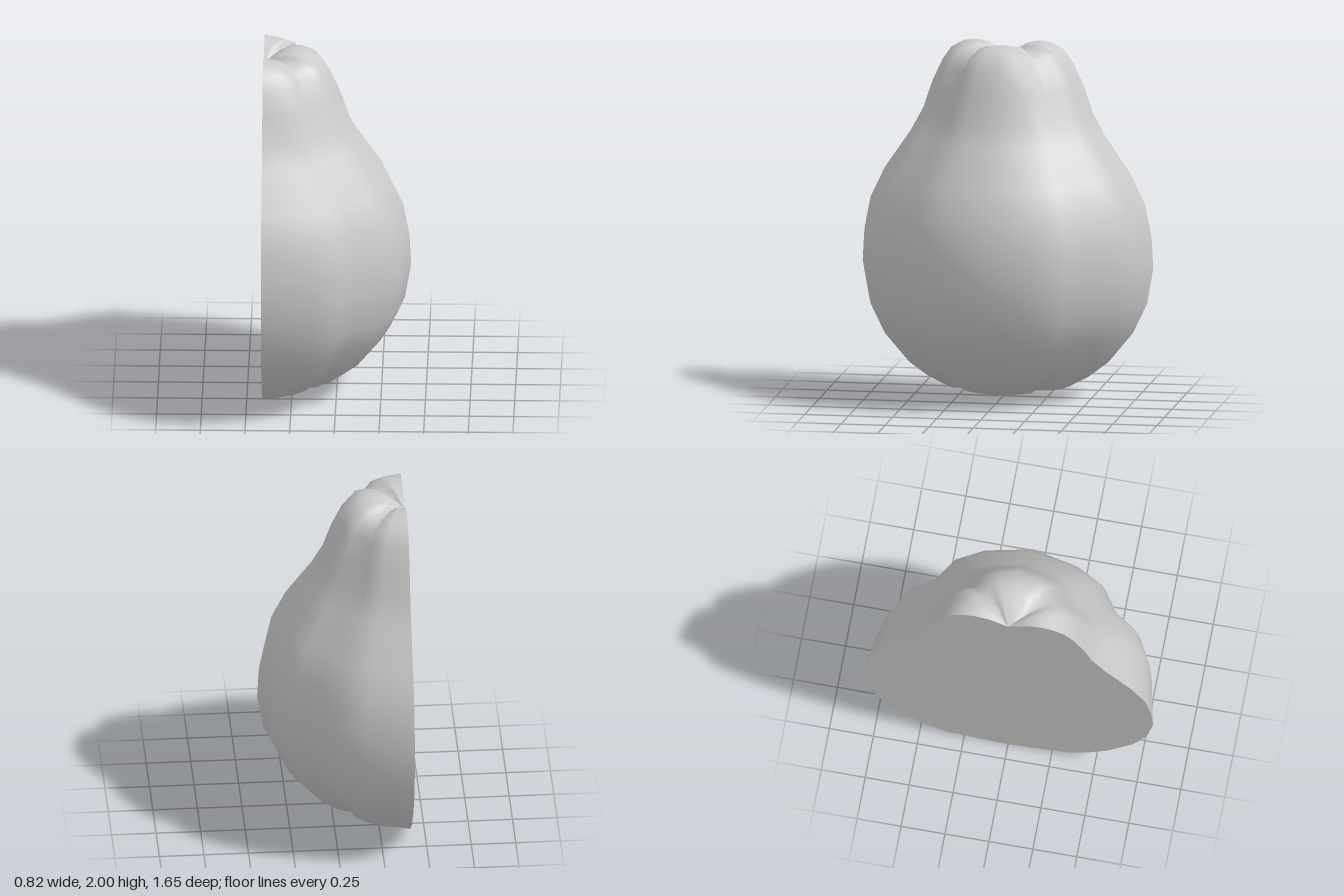
import * as THREE from 'three';

// Matching [radius, height] profiles, top to bottom: crest of a lobe and bottom of a groove
const CREST = [
  [0, 1.92], [0.05, 1.95], [0.11, 1.985], [0.18, 2], [0.25, 1.99], [0.32, 1.95], [0.37, 1.88],
  [0.43, 1.75], [0.48, 1.6], [0.55, 1.47], [0.7, 1.25], [0.78, 1.08], [0.815, 0.9], [0.825, 0.72],
  [0.79, 0.52], [0.71, 0.35], [0.57, 0.18], [0.46, 0.095], [0.35, 0.035], [0.17, 0.015], [0, 0],
];
const GROOVE = [
  [0, 1.92], [0.05, 1.925], [0.1, 1.93], [0.16, 1.935], [0.22, 1.93], [0.28, 1.91], [0.32, 1.85],
  [0.38, 1.73], [0.43, 1.59], [0.5, 1.46], [0.64, 1.25], [0.715, 1.08], [0.75, 0.9], [0.755, 0.72],
  [0.72, 0.52], [0.64, 0.36], [0.51, 0.2], [0.41, 0.125], [0.31, 0.075], [0.16, 0.04], [0, 0],
];
const CUT_X = -0.41;

// Columns round the half body: [angle in degrees, share of the groove profile]
const halfLobe = [[0, 0], [20, 0.14], [33, 0.22], [45, 1]];
const quarter = [...halfLobe, ...halfLobe.slice(0, 3).reverse().map(([a, w]) => [90 - a, w])];
const columns = [...quarter.slice(1).reverse().map(([a, w]) => [-a, w]), ...quarter];

// Lobed skin: a grid of profiles swept through half a turn
function skinGeometry() {
  const pos = [], index = [], n = columns.length;
  CREST.forEach(([cr, cy], i) => {
    const [gr, gy] = GROOVE[i];
    for (const [deg, w] of columns) {
      const a = THREE.MathUtils.degToRad(deg);
      const r = THREE.MathUtils.lerp(cr, gr, w);
      pos.push(CUT_X + r * Math.cos(a), THREE.MathUtils.lerp(cy, gy, w), r * Math.sin(a));
    }
  });
  const last = CREST.length - 2;
  for (let i = 0; i <= last; i++) {
    for (let j = 0; j < n - 1; j++) {
      const a = i * n + j, b = a + n;
      if (i > 0) index.push(a, a + 1, b);
      if (i < last) index.push(a + 1, b + 1, b);
    }
  }
  const geo = new THREE.BufferGeometry();
  geo.setAttribute('position', new THREE.Float32BufferAttribute(pos, 3));
  geo.setIndex(index);
  geo.computeVertexNormals();
  return geo;
}

// Flat cut face: the crest profile mirrored into a closed outline
function cutGeometry() {
  const outline = [...CREST, ...CREST.slice(1, -1).reverse().map(([r, y]) => [-r, y])];
  const shape = new THREE.Shape(outline.map(([r, y]) => new THREE.Vector2(r, y)));
  return new THREE.ShapeGeometry(shape).rotateY(-Math.PI / 2).translate(CUT_X, 0, 0);
}

export function createModel() {
  const group = new THREE.Group();
  group.name = 'halvedFruit';
  const material = new THREE.MeshStandardMaterial({ color: 0xcccccc });
  const add = (name, geo) => {
    const mesh = new THREE.Mesh(geo, material);
    mesh.name = name;
    group.add(mesh);
  };
  add('skin', skinGeometry());
  add('cutFace', cutGeometry());
  return group;
}
